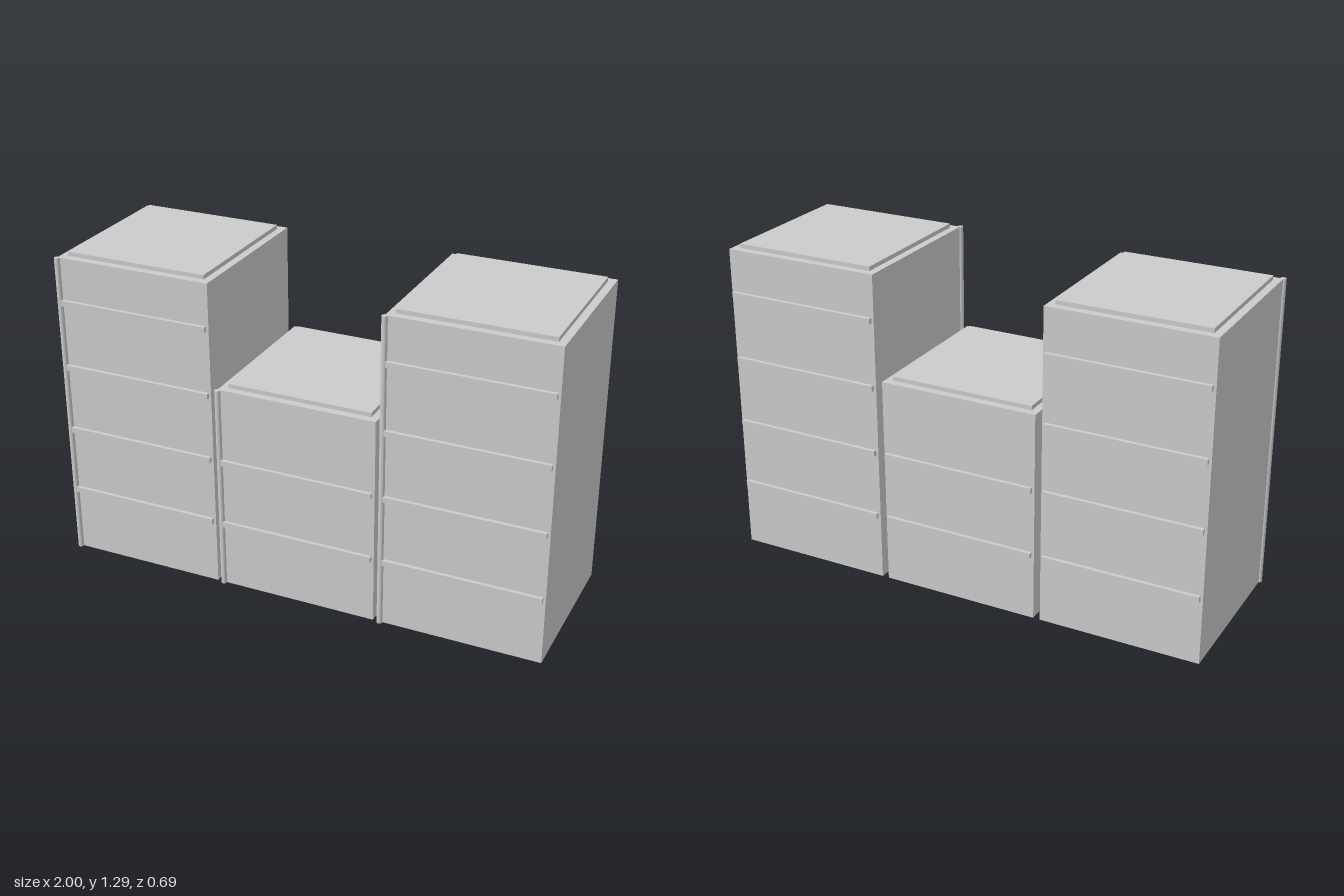
import * as THREE from 'three';

const concrete = new THREE.MeshStandardMaterial({ color: 0xcccccc });
concrete.name = 'light grey';

const WIDTH = 0.645, DEPTH = 0.662, FLOOR = 0.272;

function addBox(group, name, size, position) {
  const mesh = new THREE.Mesh(new THREE.BoxGeometry(...size), concrete);
  mesh.name = name;
  mesh.position.set(...position);
  group.add(mesh);
}

// One block: body, roof slab, ledges on front and back, corner pipe
function createBlock(name, x, height, ledges) {
  const block = new THREE.Group();
  block.name = name;
  block.position.x = x;

  addBox(block, 'body', [WIDTH, height, DEPTH], [0, height / 2, 0]);
  addBox(block, 'roofSlab', [0.585, 0.017, 0.6], [0, height + 0.0085, 0]);

  for (let i = 1; i <= ledges; i++) {
    for (const side of [1, -1]) {
      addBox(block, side > 0 ? 'frontLedge' : 'backLedge',
        [0.625, 0.022, 0.015], [0, i * FLOOR + 0.001, side * (DEPTH / 2 + 0.0075)]);
    }
  }

  const pipe = new THREE.Mesh(new THREE.CylinderGeometry(0.0115, 0.0115, height, 12), concrete);
  pipe.name = 'cornerPipe';
  pipe.position.set(-WIDTH / 2 + 0.0015, height / 2, DEPTH / 2 + 0.0035);
  block.add(pipe);
  return block;
}

export function createModel() {
  const model = new THREE.Group();
  model.name = 'buildingRow';
  model.add(
    createBlock('rightTower', -0.6675, 1.27, 4),
    createBlock('middleBlock', 0.005, 0.849, 2),
    createBlock('leftTower', 0.6775, 1.27, 4)
  );
  return model;
}
